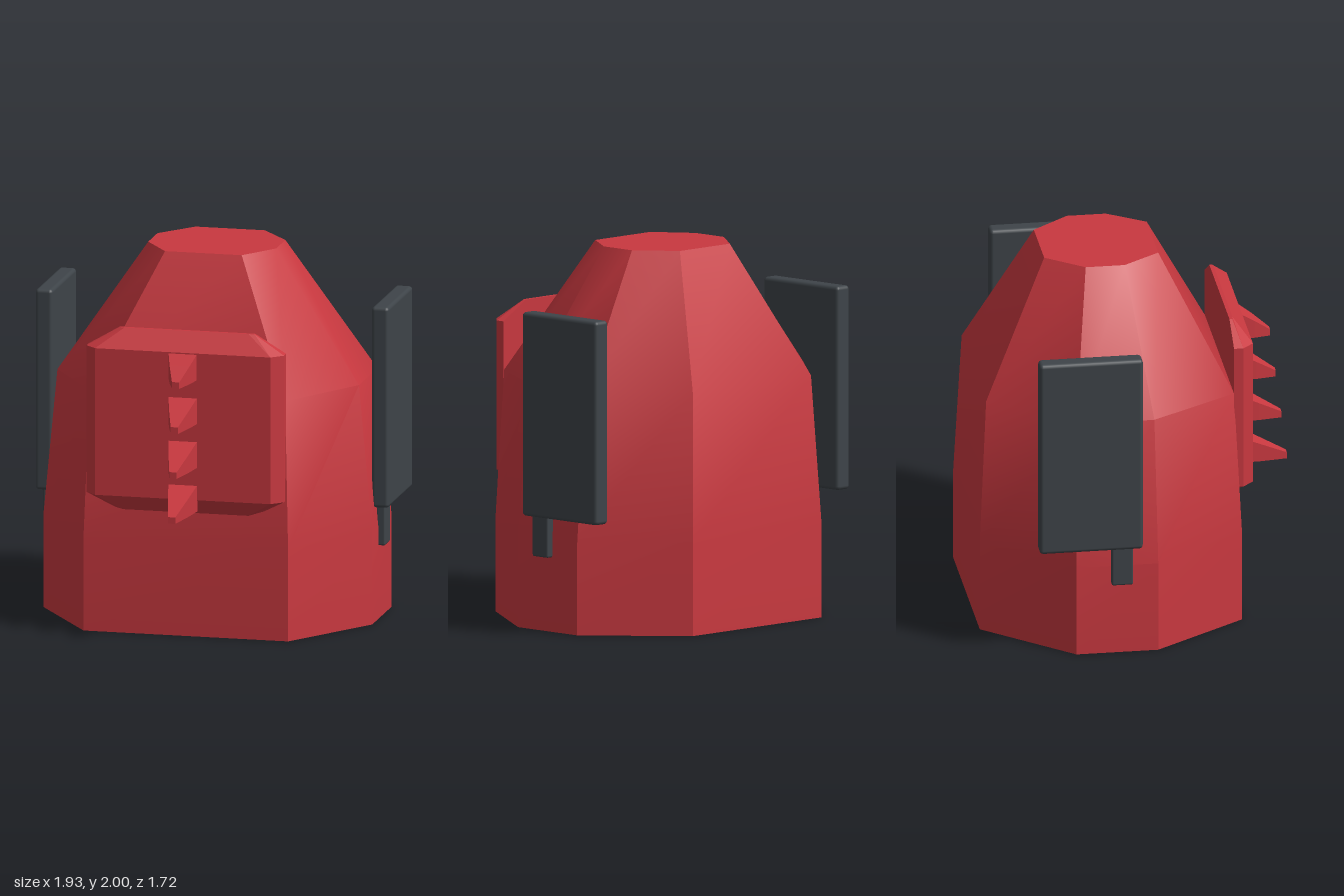
import * as THREE from 'three';
import { toCreasedNormals } from 'three/addons/utils/BufferGeometryUtils.js';
import { RoundedBoxGeometry } from 'three/addons/geometries/RoundedBoxGeometry.js';

const red = new THREE.MeshStandardMaterial({ color: 0xc8383f });
red.name = 'red paint';
const dark = new THREE.MeshStandardMaterial({ color: 0x3e4449 });
dark.name = 'dark grey';

// Closed solid through rings of [x, y, z] corners, capped at both ends
function loft(rings, crease) {
  const pos = [];
  const tri = (a, b, c) => pos.push(...a, ...b, ...c);
  const n = rings[0].length;
  for (let r = 0; r < rings.length - 1; r++) {
    for (let i = 0; i < n; i++) {
      const j = (i + 1) % n;
      tri(rings[r][i], rings[r][j], rings[r + 1][j]);
      tri(rings[r][i], rings[r + 1][j], rings[r + 1][i]);
    }
  }
  const first = rings[0], last = rings[rings.length - 1];
  for (let i = 1; i < n - 1; i++) {
    tri(first[0], first[i + 1], first[i]);
    tri(last[0], last[i], last[i + 1]);
  }
  const g = new THREE.BufferGeometry();
  g.setAttribute('position', new THREE.Float32BufferAttribute(pos, 3));
  g.computeVertexNormals();
  return crease ? toCreasedNormals(g, crease) : g;
}

// Mirrors a half outline of [x, z] points, listed front to back, at height y
function mirrorRing(y, half) {
  const right = half.map(([x, z]) => [x, y, z]);
  const left = half.map(([x, z]) => [-x, y, z]).reverse();
  return [...right, ...left];
}

function addMesh(parent, name, geometry, material) {
  const mesh = new THREE.Mesh(geometry, material);
  mesh.name = name;
  parent.add(mesh);
  return mesh;
}

export function createModel() {
  const model = new THREE.Group();
  model.name = 'torso';

  // Eight-sided body tapering to a flat top
  const base = [[0.56, 0.54], [0.9, 0.04], [0.9, -0.4], [0.49, -0.86]];
  addMesh(model, 'body', loft([
    mirrorRing(0, base),
    mirrorRing(0.5, base),
    mirrorRing(1.3, [[0.535, 0.5], [0.825, 0.03], [0.825, -0.39], [0.45, -0.82]]),
    mirrorRing(2, [[0.21, 0.14], [0.35, -0.06], [0.35, -0.27], [0.19, -0.47]]),
  ], THREE.MathUtils.degToRad(32)), red);

  // Bevelled chest plate
  const plate = [[0.48, 0.61], [0.54, 0.55], [0.54, 0.5]];
  addMesh(model, 'chestPlate', loft([
    mirrorRing(0.67, [[0.34, 0.53], [0.37, 0.52], [0.37, 0.5]]),
    mirrorRing(0.76, plate),
    mirrorRing(1.56, plate),
    mirrorRing(1.66, [[0.34, 0.52], [0.37, 0.515], [0.37, 0.5]]),
  ]), red);

  // Row of spikes, longer towards the bottom
  const spikes = new THREE.Group();
  spikes.name = 'spikes';
  model.add(spikes);
  const section = (w, bottom, top, z) =>
    [[-w, bottom, z], [w, bottom, z], [w, top, z], [-w, top, z]];
  for (let i = 0; i < 4; i++) {
    const y = 1.4 - i * 0.239;
    addMesh(spikes, 'spike' + (i + 1), loft([
      section(0.08, y + 0.015, y + 0.16, 0.6),
      section(0.055, y + 0.007, y + 0.105, 0.68 + i * 0.012),
      section(0.02, y, y + 0.035, 0.77 + i * 0.03),
    ]), red);
  }

  // Upright side panels with short posts below
  for (const [side, s] of [['left', 1], ['right', -1]]) {
    const panel = addMesh(model, side + 'Panel',
      new RoundedBoxGeometry(0.095, 1.095, 0.555, 2, 0.02), dark);
    panel.position.set(s * 0.92, 1.163, -0.328);
    const post = addMesh(model, side + 'Post',
      new RoundedBoxGeometry(0.05, 0.26, 0.115, 2, 0.01), dark);
    post.position.set(s * 0.912, 0.53, -0.157);
  }

  return model;
}
